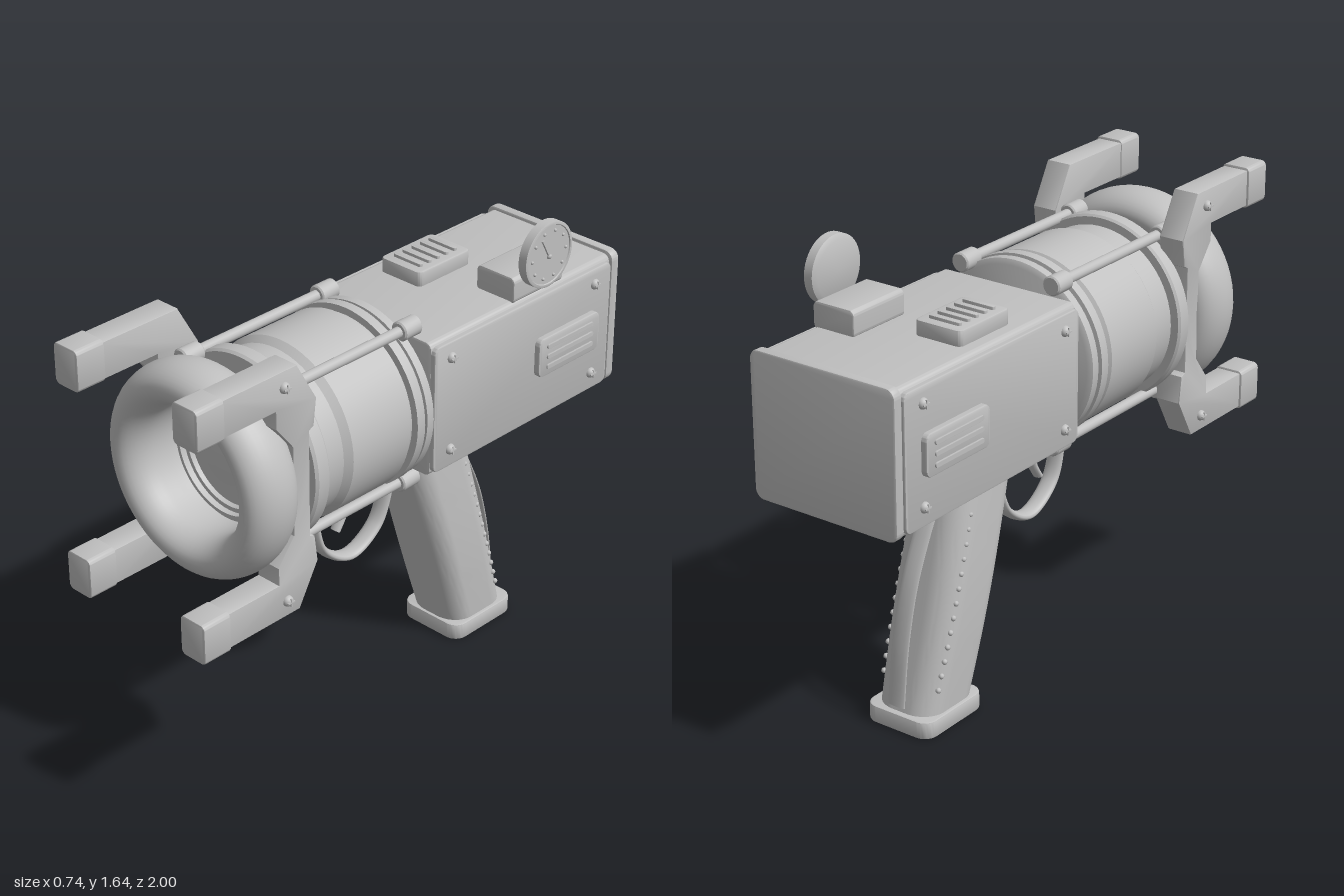
import * as THREE from 'three';
import { toCreasedNormals } from 'three/addons/utils/BufferGeometryUtils.js';

const gray = new THREE.MeshStandardMaterial({ color: 0xc0c0c0 });
gray.name = 'matte gray';
const AXIS_Y = 1.137;

function add(parent, name, geo, x = 0, y = 0, z = 0) {
  const mesh = new THREE.Mesh(geo, gray);
  mesh.name = name;
  mesh.position.set(x, y, z);
  parent.add(mesh);
  return mesh;
}

function roundedRect(w, h, r) {
  const s = new THREE.Shape(), a = w / 2, b = h / 2;
  s.moveTo(-a + r, -b);
  s.lineTo(a - r, -b).absarc(a - r, -b + r, r, -Math.PI / 2, 0, false);
  s.lineTo(a, b - r).absarc(a - r, b - r, r, 0, Math.PI / 2, false);
  s.lineTo(-a + r, b).absarc(-a + r, b - r, r, Math.PI / 2, Math.PI, false);
  s.lineTo(-a, -b + r).absarc(-a + r, -b + r, r, Math.PI, Math.PI * 1.5, false);
  return s;
}

// Extrude a shape through depth d, centred, with a small inset bevel
function extrude(shape, d, bevel = 0.006) {
  const geo = new THREE.ExtrudeGeometry(shape, {
    depth: d - 2 * bevel, bevelEnabled: bevel > 0, bevelThickness: bevel,
    bevelSize: bevel, bevelOffset: -bevel, bevelSegments: 2, curveSegments: 6,
  });
  return toCreasedNormals(geo.translate(0, 0, -d / 2 + bevel), 0.6);
}
const slab = (w, h, d, r, bevel) => extrude(roundedRect(w, h, r), d, bevel);
// Slab standing on the side: length along z, height along y, thickness along x
const sideSlab = (len, h, d, r, bevel) => slab(len, h, d, r, bevel).rotateY(-Math.PI / 2);
// Slab lying flat: width along x, length along z, thickness along y
const flatSlab = (w, len, d, r, bevel) => slab(w, len, d, r, bevel).rotateX(-Math.PI / 2);

// Lathe around the z axis from [radius, z] pairs
function latheZ(points, segments = 64) {
  const geo = new THREE.LatheGeometry(points.map(([r, z]) => new THREE.Vector2(r, z)), segments);
  return toCreasedNormals(geo.rotateX(Math.PI / 2), 0.55);
}

// Tube in the x = 0 plane through [z, y] pairs, widened along x
function ribbon(points, radius, widen) {
  const curve = new THREE.CatmullRomCurve3(points.map(([z, y]) => new THREE.Vector3(0, y, z)));
  return new THREE.TubeGeometry(curve, 48, radius, 12).scale(widen, 1, 1);
}

// Domed side screw with a cross slot
function screw(parent, s, x, y, z) {
  const dome = new THREE.SphereGeometry(0.019, 16, 8, 0, Math.PI * 2, 0, Math.PI / 2);
  add(parent, 'screwHead', dome.rotateZ(-s * Math.PI / 2), s * x, y, z);
  for (const size of [[0.03, 0.005], [0.005, 0.03]])
    add(parent, 'screwSlot', new THREE.BoxGeometry(0.004, ...size), s * (x + 0.017), y, z);
}

function buildBarrel(root) {
  // Rear dome, flange, drum and front flange
  add(root, 'barrel', latheZ([
    [0, -0.095], [0.08, -0.085], [0.15, -0.065], [0.2, -0.04], [0.3, -0.04], [0.318, -0.03], [0.318, 0],
    [0.308, 0.002], [0.308, 0.012], [0.322, 0.015], [0.322, 0.05], [0.298, 0.052], [0.298, 0.065],
    [0.316, 0.08], [0.316, 0.34], [0.297, 0.365], [0.297, 0.455], [0.325, 0.457], [0.332, 0.465],
    [0.332, 0.51], [0.325, 0.52], [0.25, 0.522], [0.25, 0.56], [0, 0.56],
  ]), 0, AXIS_Y, 0);

  // Swollen muzzle rim with stepped recess
  const rim = [];
  for (let i = 0; i <= 28; i++) {
    const a = -Math.PI * 0.75 + (i / 28) * Math.PI * 1.75;
    rim.push([0.296 + 0.072 * Math.cos(a), 0.695 + 0.105 * Math.sin(a)]);
  }
  add(root, 'muzzle', latheZ([
    [0.2, 0.54], [0.2, 0.58], ...rim, [0.226, 0.64], [0.226, 0.6], [0.212, 0.6], [0.212, 0.612],
    [0.2, 0.612], [0.2, 0.59], [0.185, 0.59], [0.18, 0.575], [0.132, 0.575], [0.128, 0.59],
    [0.104, 0.59], [0.1, 0.6], [0.06, 0.604], [0, 0.606],
  ]), 0, AXIS_Y, 0);

  // Four tie rods with end nuts
  for (const sx of [-1, 1]) for (const sy of [-1, 1]) {
    const x = sx * 0.185, y = AXIS_Y + sy * 0.282;
    add(root, 'tieRod', new THREE.CylinderGeometry(0.019, 0.019, 0.62, 16).rotateX(Math.PI / 2), x, y, 0.26);
    for (const z of [-0.042, 0.565])
      add(root, 'rodNut', latheZ([[0, -0.04], [0.029, -0.04], [0.034, -0.035], [0.034, 0.035], [0.029, 0.04], [0, 0.04]], 20), x, y, z);
  }
}

function buildProngs(root) {
  // C-shaped side bracket, given as its upper half [z, height above axis]
  const upper = [[0.9, 0.313], [0.9, 0.44], [0.58, 0.44], [0.498, 0.295], [0.51, 0.2], [0.53, 0.19], [0.53, 0.05]];
  const inner = [[0.6, 0.16], [0.67, 0.25], [0.67, 0.313]];
  const flip = (list) => list.map(([z, y]) => [z, -y]).reverse();
  const outline = [...upper, ...flip(upper), ...flip(inner), ...inner];
  const shape = new THREE.Shape(outline.map(([z, y]) => new THREE.Vector2(z, y)));
  for (const s of [-1, 1]) {
    add(root, 'prongBracket', extrude(shape, 0.096, 0.004).rotateY(-Math.PI / 2), s * 0.263, AXIS_Y, 0);
    for (const sy of [-1, 1]) {
      add(root, 'prongTip', slab(0.11, 0.146, 0.112, 0.02), s * 0.265, AXIS_Y + sy * 0.377, 0.944);
      screw(root, s, 0.311, AXIS_Y + sy * 0.384, 0.635);
    }
  }
}

function buildReceiver(root) {
  add(root, 'receiverBox', slab(0.54, 0.495, 0.91, 0.025), 0, 1.132, -0.52);
  add(root, 'backPlate', slab(0.57, 0.505, 0.036, 0.035), 0, 1.14, -0.982);
  for (const s of [-1, 1]) {
    // Screwed side panel with raised louvre
    add(root, 'sidePanel', sideSlab(0.89, 0.465, 0.03, 0.025), s * 0.272, 1.133, -0.512);
    for (const z of [-0.145, -0.87]) for (const y of [0.967, 1.31]) screw(root, s, 0.286, y, z);
    add(root, 'sideLouvre', sideSlab(0.315, 0.145, 0.03, 0.025), s * 0.294, 1.14, -0.723);
    for (const dy of [-0.038, 0, 0.038])
      add(root, 'louvreSlat', sideSlab(0.24, 0.018, 0.012, 0.0085, 0.002), s * 0.309, 1.14 + dy, -0.723);
  }
  // Top vent
  add(root, 'topVent', flatSlab(0.182, 0.255, 0.06, 0.02), -0.122, 1.402, -0.463);
  for (let i = 0; i < 5; i++)
    add(root, 'ventSlat', flatSlab(0.125, 0.018, 0.02, 0.0085, 0.002), -0.122, 1.433, -0.548 + i * 0.0425);
}

function buildGauge(root) {
  add(root, 'gaugeBase', slab(0.165, 0.095, 0.25, 0.02), 0.185, 1.418, -0.595);
  const dial = new THREE.Group();
  dial.name = 'gaugeDial';
  dial.position.set(0.29, 1.527, -0.592);
  root.add(dial);
  const face = latheZ([[0, -0.022], [0.1, -0.022], [0.117, -0.012], [0.117, 0.02], [0.112, 0.022],
    [0.106, 0.022], [0.104, 0.018], [0, 0.018]], 48);
  add(dial, 'dialCase', face.rotateY(Math.PI / 2));
  // Tick dots and needle
  for (let i = 0; i < 10; i++) {
    const a = -Math.PI / 2 + (i + 0.5) * Math.PI / 5;
    add(dial, 'dialTick', new THREE.SphereGeometry(0.006, 8, 6), 0.019, 0.085 * Math.sin(a), 0.085 * Math.cos(a));
  }
  const needle = add(dial, 'needle', new THREE.BoxGeometry(0.008, 0.085, 0.01), 0.021, 0.025, 0.015);
  needle.rotation.x = 0.5;
  add(dial, 'needleHub', new THREE.SphereGeometry(0.01, 10, 8), 0.019, -0.005, 0);
}

function buildGrip(root) {
  add(root, 'gripCollar', flatSlab(0.24, 0.275, 0.13, 0.06), 0, 0.845, -0.302);

  // Slanted grip: an upright rounded prism, sheared back and swollen in the middle
  const top = 0.79, bottom = 0.05;
  const geo = new THREE.ExtrudeGeometry(roundedRect(0.24, 0.3, 0.09),
    { depth: top - bottom, steps: 14, bevelEnabled: false, curveSegments: 8 });
  geo.rotateX(-Math.PI / 2).translate(0, bottom, 0);
  const swell = (t) => 1 + 0.1 * Math.sin(Math.PI * t);
  const p = geo.attributes.position;
  for (let i = 0; i < p.count; i++) {
    const t = (p.getY(i) - bottom) / (top - bottom);
    p.setX(i, p.getX(i) * swell(t));
    p.setZ(i, p.getZ(i) * (0.92 + 0.1 * t) - 0.528 + 0.215 * t);
  }
  add(root, 'grip', toCreasedNormals(geo, 0.6));
  add(root, 'gripBase', flatSlab(0.27, 0.31, 0.062, 0.05), 0, 0.031, -0.53);

  // Studs along both sides and a bowed strap down the back
  for (const s of [-1, 1]) for (let i = 0; i < 13; i++) {
    const k = i / 12, y = 0.72 - 0.57 * k, t = (y - bottom) / (top - bottom);
    add(root, 'gripStud', new THREE.SphereGeometry(0.01, 8, 6), s * 0.11 * swell(t), y, -0.42 - 0.18 * k);
  }
  add(root, 'gripStrap', ribbon([[-0.475, 0.76], [-0.53, 0.66], [-0.6, 0.5], [-0.65, 0.3], [-0.678, 0.09]], 0.007, 5));
}

function buildTrigger(root) {
  add(root, 'triggerGuard', ribbon([[0.21, 0.84], [0.213, 0.72], [0.17, 0.59], [0.04, 0.513],
    [-0.085, 0.575], [-0.135, 0.68], [-0.15, 0.79]], 0.015, 2.2));
  add(root, 'guardMount', new THREE.BoxGeometry(0.08, 0.04, 0.1), 0, 0.875, -0.11);
  add(root, 'trigger', ribbon([[0.075, 0.84], [0.062, 0.76], [0.07, 0.69], [0.103, 0.635]], 0.012, 1.7));
}

export function createModel() {
  const root = new THREE.Group();
  root.name = 'handheldDevice';
  buildBarrel(root);
  buildProngs(root);
  buildReceiver(root);
  buildGauge(root);
  buildGrip(root);
  buildTrigger(root);
  return root;
}
